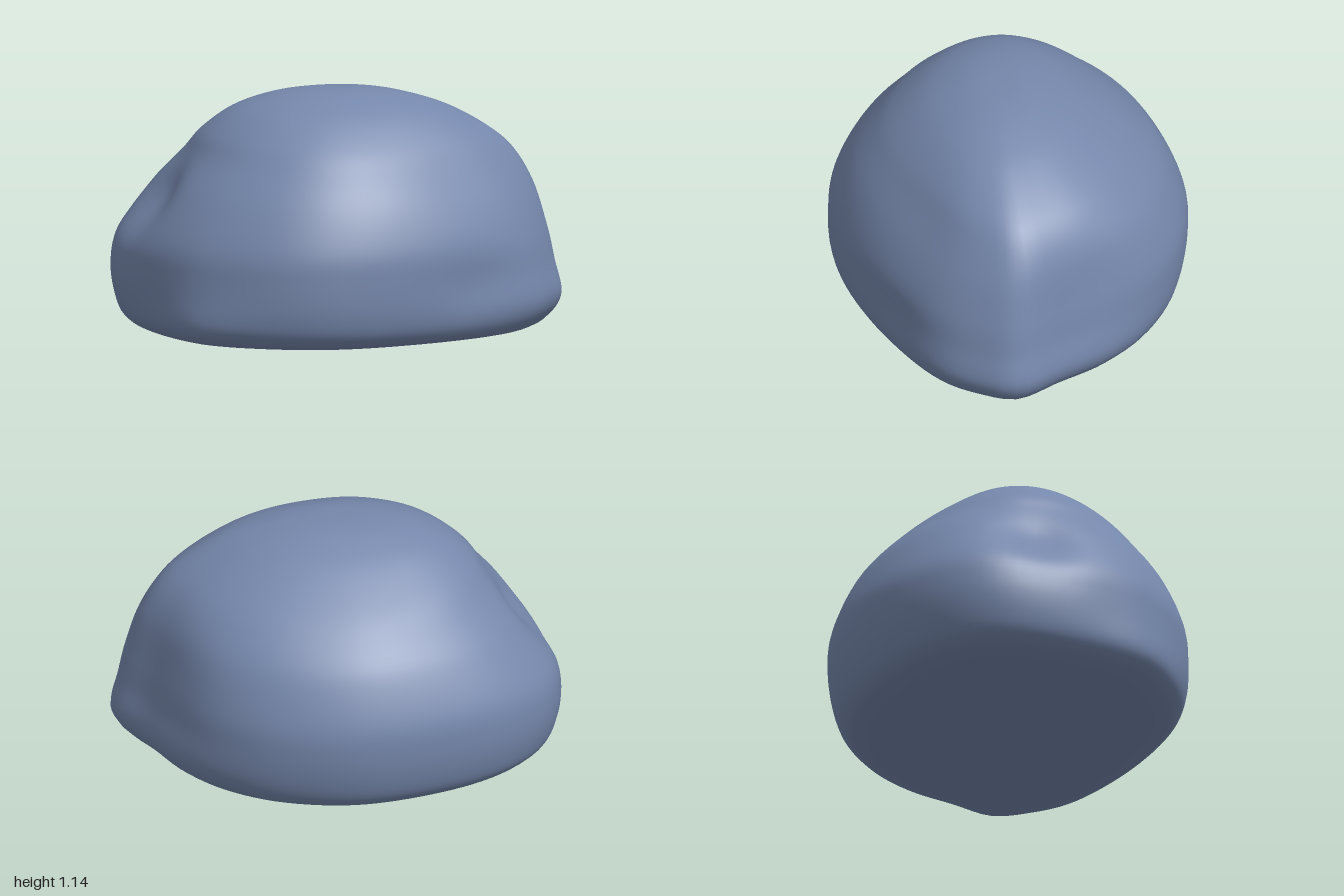
import * as THREE from 'three';
import { mergeVertices } from 'three/addons/utils/BufferGeometryUtils.js';

const HALF_DEPTH = 0.795;

// Widest plan outline of the boulder, as x, z from the left side round by the front
const OUTLINE = [
  [1.0, 0.07], [0.94, 0.24], [0.82, 0.41], [0.53, 0.6], [0.1, 0.76], [-0.16, 0.79], [-0.36, 0.755],
  [-0.56, 0.66], [-0.73, 0.53], [-0.86, 0.34], [-0.96, 0.12], [-1.0, -0.13], [-0.94, -0.35],
  [-0.76, -0.55], [-0.45, -0.71], [-0.03, -0.8], [0.35, -0.73], [0.61, -0.57], [0.78, -0.37],
  [0.89, -0.15],
];

// Height, then how far the outline reaches toward +x, +z, -x and -z
const LEVELS = [
  [0, 0, 0, 0, 0],
  [0.02, 0.45, 0.45, 0.45, 0.45],
  [0.05, 0.83, 0.82, 0.81, 0.8],
  [0.1, 0.94, 0.94, 0.93, 0.91],
  [0.2, 1, 0.99, 0.98, 0.97],
  [0.35, 0.97, 1, 1, 1],
  [0.5, 0.94, 0.98, 0.97, 0.985],
  [0.7, 0.885, 0.88, 0.83, 0.88],
  [0.85, 0.8, 0.735, 0.69, 0.735],
  [0.95, 0.685, 0.6, 0.61, 0.6],
  [1.05, 0.5, 0.42, 0.48, 0.42],
  [1.11, 0.31, 0.25, 0.32, 0.25],
  [1.135, 0.15, 0.13, 0.16, 0.13],
  [1.14, 0, 0, 0, 0],
];

// Soft hollows in the sides, and one swelling with a negative depth
const HOLLOWS = [
  { at: [-0.82, 0.6, 0.02], width: 0.17, height: 0.22, depth: 0.09 },
  { at: [0.8, 0.6, -0.3], width: 0.25, height: 0.3, depth: 0.03 },
  { at: [0.56, 0.3, 0.58], width: 0.22, height: 0.15, depth: 0.02 },
  { at: [0.55, 0.8, 0.42], width: 0.38, height: 0.25, depth: 0.055 },
  { at: [-0.7, 0.1, 0.5], width: 0.35, height: 0.15, depth: -0.05 },
];

// Push a point inward near each hollow
function pressHollows(point) {
  for (const { at: [x, y, z], width, height, depth } of HOLLOWS) {
    const spread = ((point.x - x) ** 2 + (point.z - z) ** 2) / width ** 2
      + ((point.y - y) / height) ** 2;
    const push = depth * Math.exp(-spread) / Math.hypot(x, z);
    point.x -= x * push;
    point.z -= z * push;
  }
}

function boulderGeometry(around, up) {
  const outline = new THREE.CatmullRomCurve3(
    OUTLINE.map(([x, z]) => new THREE.Vector3(x, 0, z)), true, 'centripetal');
  const ring = outline.getSpacedPoints(around).slice(0, around);
  // Two splines carry the four reaches, both on the same heights
  const spline = (a, b) => new THREE.CatmullRomCurve3(
    LEVELS.map(l => new THREE.Vector3(l[a], l[0], l[b])), false, 'catmullrom', 0.5);
  const reachLeftFront = spline(1, 2), reachRightBack = spline(3, 4);

  const positions = [], index = [];
  const point = new THREE.Vector3(), oval = new THREE.Vector3();
  for (let j = 0; j <= up; j++) {
    const lf = reachLeftFront.getPoint(j / up), rb = reachRightBack.getPoint(j / up);
    // The plan turns from the irregular outline toward an oval with height
    const roundness = 0.45 * THREE.MathUtils.smoothstep(lf.y, 0.2, 0.85);
    const lean = 0.045 * THREE.MathUtils.smoothstep(lf.y, 0.7, 1.14);
    for (const p of ring) {
      const angle = Math.atan2(p.z / HALF_DEPTH, p.x);
      const c2 = Math.cos(angle) ** 2;
      const scale = (p.x > 0 ? lf.x : rb.x) * c2 + (p.z > 0 ? lf.z : rb.z) * (1 - c2);
      oval.set(Math.cos(angle), 0, Math.sin(angle) * HALF_DEPTH);
      point.copy(p).lerp(oval, roundness).multiplyScalar(scale);
      point.y = lf.y;
      point.z += lean;
      pressHollows(point);
      positions.push(point.x, point.y, point.z);
    }
  }
  for (let j = 0; j < up; j++) {
    for (let i = 0; i < around; i++) {
      const a = j * around + i, b = j * around + (i + 1) % around;
      index.push(a, a + around, b, b, a + around, b + around);
    }
  }
  let geometry = new THREE.BufferGeometry();
  geometry.setAttribute('position', new THREE.Float32BufferAttribute(positions, 3));
  geometry.setIndex(index);
  geometry = mergeVertices(geometry);
  geometry.computeVertexNormals();
  return geometry;
}

export function createModel() {
  const group = new THREE.Group();
  group.name = 'boulder';
  const stone = new THREE.MeshStandardMaterial({ color: 0x7587ab });
  stone.name = 'blue grey stone';
  const rock = new THREE.Mesh(boulderGeometry(96, 78), stone);
  rock.name = 'rock';
  group.add(rock);
  return group;
}
